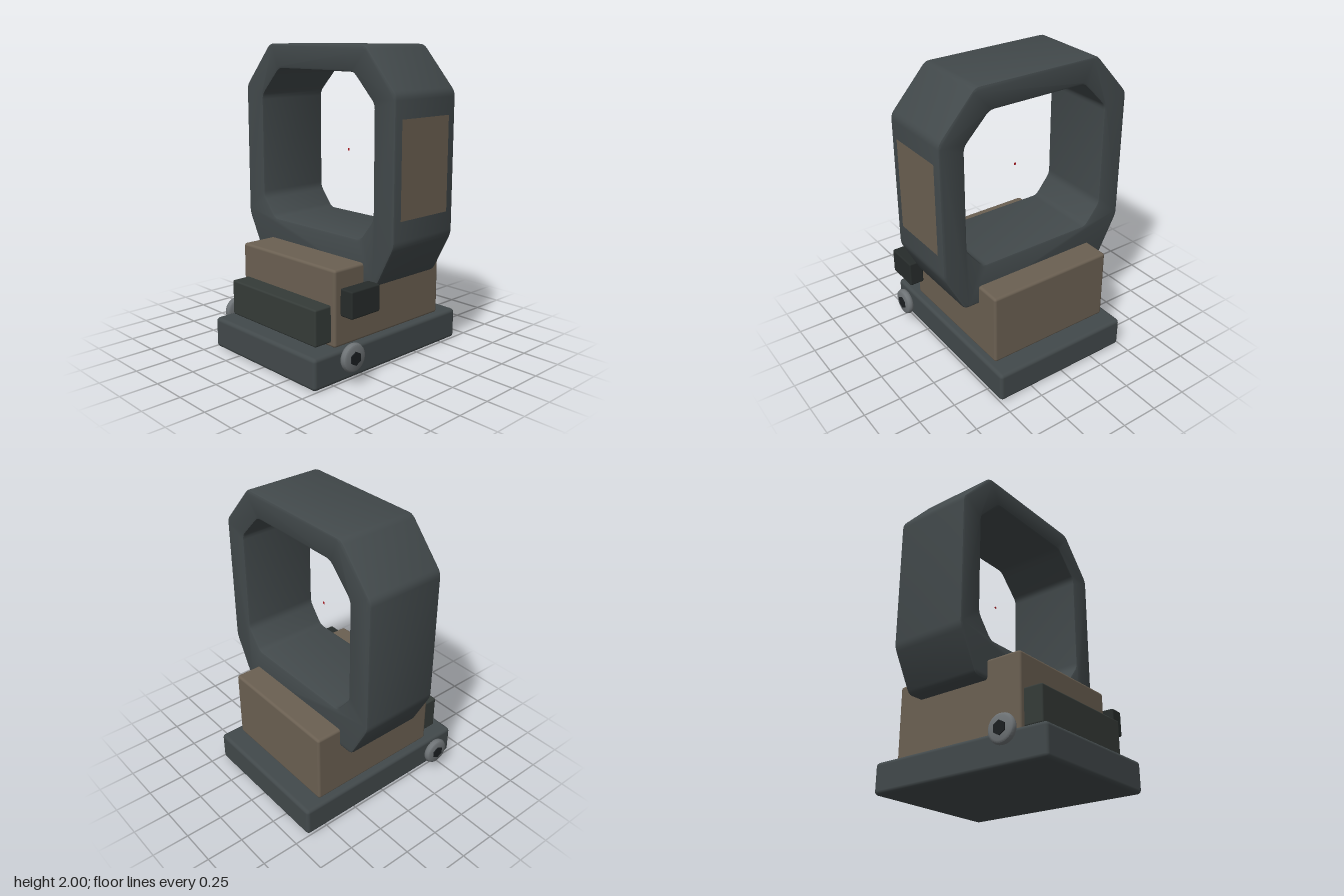
import * as THREE from 'three';
import { RoundedBoxGeometry } from 'three/addons/geometries/RoundedBoxGeometry.js';
import { toCreasedNormals } from 'three/addons/utils/BufferGeometryUtils.js';

const mat = (color) => new THREE.MeshStandardMaterial({ color });

function add(parent, name, geometry, material, x = 0, y = 0, z = 0) {
  const mesh = new THREE.Mesh(geometry, material);
  mesh.name = name;
  mesh.position.set(x, y, z);
  parent.add(mesh);
  return mesh;
}

// Rounded box given by its min and max corners
function block(parent, name, material, min, max, radius) {
  const s = max.map((v, i) => v - min[i]);
  const c = max.map((v, i) => (v + min[i]) / 2);
  return add(parent, name, new RoundedBoxGeometry(...s, 2, radius), material, ...c);
}

// Mirrors the +x half of an outline and softens its corners
function softOutline(half, path, r) {
  const pts = [...half, ...half.map(([x, y]) => [-x, y]).reverse()].map((p) => new THREE.Vector2(...p));
  pts.forEach((p, i) => {
    const toward = (q) => p.clone().add(q.clone().sub(p).setLength(r));
    const a = toward(pts[(i + pts.length - 1) % pts.length]);
    const b = toward(pts[(i + 1) % pts.length]);
    if (i === 0) path.moveTo(a.x, a.y);
    else path.lineTo(a.x, a.y);
    path.quadraticCurveTo(p.x, p.y, b.x, b.y);
  });
  path.closePath();
  return path;
}

export function createModel() {
  const model = new THREE.Group();
  model.name = 'reflexSight';
  const metal = mat(0x42494b);
  const tan = mat(0x6b6052);
  const dark = mat(0x353b38);
  const black = mat(0x272c2b);
  const steel = mat(0x6f7477);
  const socketMat = mat(0x1b1f22);

  // Mount, body and front cover
  block(model, 'base', metal, [-0.495, 0, -0.65], [0.495, 0.205, 0.65], 0.025);
  block(model, 'body', tan, [-0.445, 0.2, -0.515], [0.445, 0.69, 0.44], 0.018);
  block(model, 'frontCover', dark, [-0.41, 0.23, 0.38], [0.41, 0.465, 0.565], 0.012);
  block(model, 'sideButton', black, [0.517, 0.435, 0.23], [0.617, 0.605, 0.465], 0.01);

  // Window hood
  const outer = softOutline([[0.55, 0.56], [0.69, 0.83], [0.69, 1.72], [0.44, 2]], new THREE.Shape(), 0.03);
  outer.holes.push(softOutline([[0.41, 0.83], [0.52, 0.97], [0.52, 1.66], [0.345, 1.84]], new THREE.Path(), 0.03));
  const bevel = 0.015;
  const hood = new THREE.ExtrudeGeometry(outer, {
    depth: 0.54 - 2 * bevel, bevelThickness: bevel, bevelSize: bevel,
    bevelOffset: -bevel, bevelSegments: 2, curveSegments: 3,
  });
  add(model, 'windowHood', toCreasedNormals(hood, 0.5), metal, 0, 0, -0.34 + bevel);

  // Inlay flush with the hood's left side
  const inlay = add(model, 'sideInlay', new THREE.PlaneGeometry(0.42, 0.6), tan, 0.6905, 1.28, -0.07);
  inlay.rotation.y = Math.PI / 2;

  // Aiming dot
  const dotMat = mat(0xb01820);
  dotMat.side = THREE.DoubleSide;
  add(model, 'aimingDot', new THREE.CircleGeometry(0.009, 16), dotMat, 0, 1.315, -0.105);

  // Clamp screws on both sides: rounded disc head with a hex centre
  const headProfile = [[0, -0.024], [0.07, -0.024], [0.084, -0.018], [0.091, 0], [0.084, 0.018], [0.07, 0.024], [0, 0.024]]
    .map((p) => new THREE.Vector2(...p));
  for (const side of [1, -1]) {
    const screw = new THREE.Group();
    screw.name = side > 0 ? 'leftScrew' : 'rightScrew';
    screw.position.set(side * 0.575, 0.18, 0.415);
    screw.rotation.z = -side * Math.PI / 2;
    add(screw, 'screwHead', toCreasedNormals(new THREE.LatheGeometry(headProfile, 32), 0.8), steel);
    const hex = toCreasedNormals(new THREE.CylinderGeometry(0.044, 0.044, 0.03, 6), 0.5);
    hex.rotateY(Math.PI / 2);
    add(screw, 'screwHex', hex, socketMat, 0, 0.015, 0);
    model.add(screw);
  }
  return model;
}
